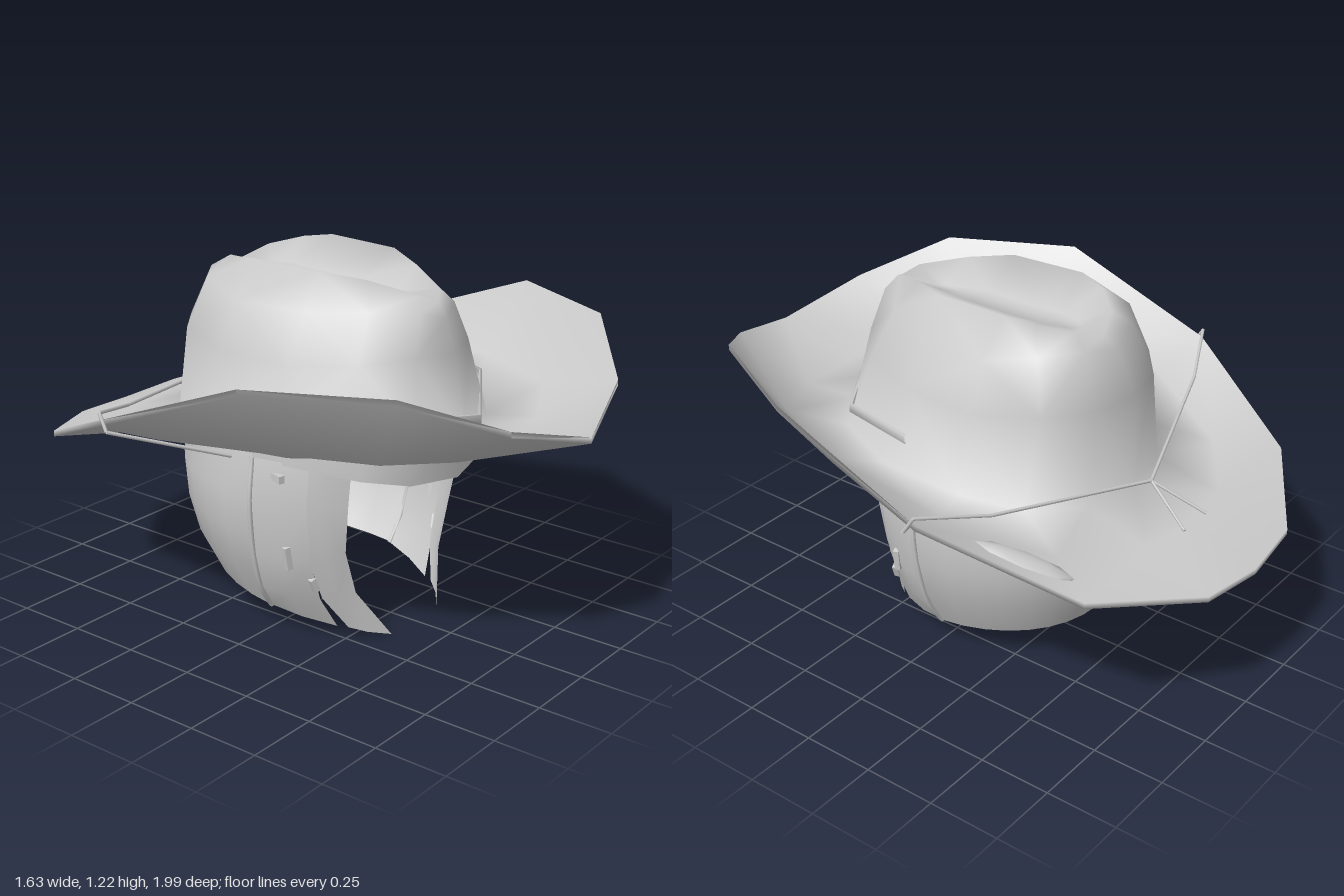
import * as THREE from 'three';

const material = new THREE.MeshStandardMaterial({ color: 0xcccccc, side: THREE.DoubleSide });
const flip = ([x, y, z]) => [-x, y, z];
const lift = (points, d) => points.map(([x, y, z]) => [x, y + d, z]);
// full ring from a half listed back -> left side -> front
const ring = (half) => [...half, ...half.slice(1, -1).reverse().map(flip)];

// smooth skin over rows of points, each quad split along its shorter diagonal
function loft(name, rows, closed) {
  const n = rows[0].length, index = [], points = rows.flat();
  const gap = (p, q) => Math.hypot(...points[p].map((v, i) => v - points[q][i]));
  for (let i = 0; i < rows.length - 1; i++) {
    for (let j = 0; j < (closed ? n : n - 1); j++) {
      const k = (j + 1) % n;
      const a = i * n + j, b = a + n, c = i * n + k, d = c + n;
      if (gap(b, c) < gap(a, d)) index.push(a, b, c, c, b, d);
      else index.push(a, b, d, a, d, c);
    }
  }
  const geo = new THREE.BufferGeometry();
  geo.setAttribute('position', new THREE.Float32BufferAttribute(points.flat(), 3));
  geo.setIndex(index);
  geo.computeVertexNormals();
  return named(name, geo);
}

function named(name, geo) {
  const mesh = new THREE.Mesh(geo, material);
  mesh.name = name;
  return mesh;
}

// straight cord segments through a list of points
function cord(name, points, radius) {
  const group = new THREE.Group();
  group.name = name;
  for (let i = 0; i < points.length - 1; i++) {
    const a = new THREE.Vector3(...points[i]), b = new THREE.Vector3(...points[i + 1]);
    const dir = b.clone().sub(a);
    const mesh = named(name + 'Segment', new THREE.CylinderGeometry(radius, radius, dir.length(), 6));
    mesh.position.copy(a).lerp(b, 0.5);
    mesh.quaternion.setFromUnitVectors(new THREE.Vector3(0, 1, 0), dir.normalize());
    group.add(mesh);
  }
  return group;
}

// brim and crown in one skin, from the head out under the brim and back over it
function createHat() {
  const inner = [[0, .61, -.52], [.18, .61, -.49], [.33, .62, -.37], [.41, .64, -.15],
    [.41, .66, .14], [.32, .68, .36], [.18, .695, .46], [0, .695, .5]];
  const middle = [[0, .575, -.75], [.21, .575, -.73], [.45, .6, -.56], [.61, .695, -.23],
    [.61, .75, .2], [.46, .745, .54], [.23, .715, .66], [0, .7, .69]];
  const outer = [[0, .505, -.995], [.24, .52, -.97], [.58, .59, -.75], [.795, .79, -.29],
    [.78, 1, .26], [.57, 1, .68], [.31, .88, .9], [0, .795, .99]];
  const base = [[0, .65, -.53], [.2, .65, -.495], [.36, .665, -.375], [.45, .695, -.17],
    [.45, .705, .14], [.345, .715, .38], [.19, .72, .49], [0, .72, .53]];
  const wall = [[0, .97, -.525], [.16, .97, -.49], [.3, .97, -.38], [.38, .95, -.16],
    [.365, .95, .1], [.275, .97, .32], [.145, .98, .44], [0, .97, .49]];
  const shoulder = [[0, 1.11, -.45], [.13, 1.14, -.42], [.25, 1.14, -.33], [.305, 1.1, -.16],
    [.28, 1.1, .1], [.19, 1.11, .29], [.09, 1.11, .42], [0, 1.08, .45]];
  const ridge = [[0, 1.145, -.4], [.1, 1.18, -.36], [.18, 1.205, -.27], [.21, 1.22, -.17],
    [.2, 1.215, .1], [.13, 1.195, .24], [.055, 1.155, .39], [0, 1.13, .42]];
  const crease = [[0, 1.145, -.32], [.03, 1.145, -.28], [.05, 1.145, -.21], [.05, 1.14, -.1],
    [.05, 1.14, .08], [.04, 1.135, .16], [.02, 1.13, .25], [0, 1.13, .28]];
  const centre = crease.map(([x, y, z]) => [0, y, z]);
  return loft('hat', [inner, middle, lift(outer, -.01), lift(outer, .01), lift(middle, .02),
    base, wall, shoulder, ridge, crease, centre].map(ring), true);
}

// sweatband below the brim, dipping over the forehead
function createHeadBand() {
  const low = [[0, .6, -.49], [.18, .6, -.47], [.33, .62, -.36], [.41, .63, -.15],
    [.41, .63, .14], [.33, .61, .37], [.2, .58, .47], [0, .56, .51]];
  return loft('headBand', [ring(low), ring(low.map(([x, y, z]) => [x, .72, z]))], true);
}

// cloth hung round the back of the head; start is the angle left open at each side
function createNeckCloth(name, inset, start, hemSide, hemBack) {
  const sideX = [.43, .45, .44, .405, .335];
  const backZ = [.5, .515, .505, .475, .42];
  const rows = sideX.map((rx, i) => {
    const row = [];
    for (let j = 0; j <= 16; j++) {
      const a = start + (j / 16) * (Math.PI - 2 * start), s = Math.sin(a), c = Math.cos(a);
      const low = hemSide + (hemBack - hemSide) * s;
      row.push([(rx - inset) * Math.sign(c) * Math.abs(c) ** .85, .65 + (low - .65) * i / 4,
        .01 - (backZ[i] + .01 - inset) * s ** .9]);
    }
    return row;
  });
  return loft(name, rows, false);
}

// strip between a rear and a front edge, bulging slightly outward
function flap(name, rear, front, side) {
  const rows = rear.map((r, i) => {
    const f = front[i];
    const m = r.map((v, k) => (v + f[k]) / 2 + (k === 0 ? .012 : 0));
    const row = [f, m, r];
    return side > 0 ? row : row.map(flip).reverse();
  });
  return loft(name, rows, false);
}

function createCheek(side) {
  const group = new THREE.Group();
  group.name = side > 0 ? 'leftCheek' : 'rightCheek';
  const seam = [[.43, .64, .01], [.452, .5, .015], [.43, .3, .01], [.39, .17, .005], [.33, .08, 0]];
  group.add(flap('outerCheekFlap', seam,
    [[.375, .64, .2], [.39, .5, .2], [.365, .3, .195], [.315, .15, .195], [.25, .035, .215]], side));
  group.add(flap('innerCheekFlap',
    [[.375, .66, .19], [.387, .5, .19], [.36, .3, .185], [.305, .15, .195], [.235, .035, .25]],
    [[.31, .66, .32], [.31, .5, .305], [.29, .33, .28], [.235, .17, .28], [.13, 0, .35]], side));
  // rolled seam where the cheek meets the neck cloth
  const path = new THREE.CatmullRomCurve3(seam.map((p) => new THREE.Vector3(...(side > 0 ? p : flip(p)))));
  group.add(named('cheekSeam', new THREE.TubeGeometry(path, 16, .009, 6)));
  // small fabric loops
  const loops = [[.402, .31, .13, .08, .02, .15], [.42, .59, .1, .025, .07, 0], [.34, .21, .19, .05, .02, .4]];
  for (const [x, y, z, h, d, tilt] of loops) {
    const loop = named('fabricLoop', new THREE.BoxGeometry(.02, h, d));
    loop.position.set(side * x, y, z);
    loop.rotation.set(0, side * .3, -side * tilt);
    group.add(loop);
  }
  return group;
}

export function createModel() {
  const model = new THREE.Group();
  model.name = 'wideBrimmedHatWithNeckCloth';
  model.add(createHat(), createHeadBand(), createCheek(1), createCheek(-1));
  model.add(createNeckCloth('neckCloth', 0, 0, .08, .14));
  model.add(createNeckCloth('neckLining', .02, .6, .26, .15));

  // hat band standing off the front of the crown
  const band = [[.45, .82, .04], [.355, .79, .36], [0, .775, .595], [-.355, .79, .36], [-.46, .83, -.01]];
  const inside = band.map(([x, y, z]) => [x * .98, y, z * .98]);
  model.add(loft('hatBand', [lift(inside, .015), lift(band, .015), lift(band, -.015), lift(inside, -.015)], false));

  // cord drawn across the back of the brim and under its sides
  const half = [[.44, .627, -.07], [.807, .77, -.255], [.8, .825, -.29], [.57, .765, -.4]];
  model.add(cord('brimCord', [...half, [0, .69, -.6], ...half.map(flip).reverse()], .006));
  for (const s of [1, -1]) model.add(cord('cordTail', [[0, .69, -.6], [s * .065, .6, -.77]], .005));

  // worn patch on the left rear of the brim
  const patch = named('wornPatch', new THREE.SphereGeometry(1, 8, 6));
  patch.scale.set(.05, .034, .18);
  patch.position.set(.59, .655, -.53);
  patch.lookAt(.77, .785, -.24);
  model.add(patch);
  return model;
}
